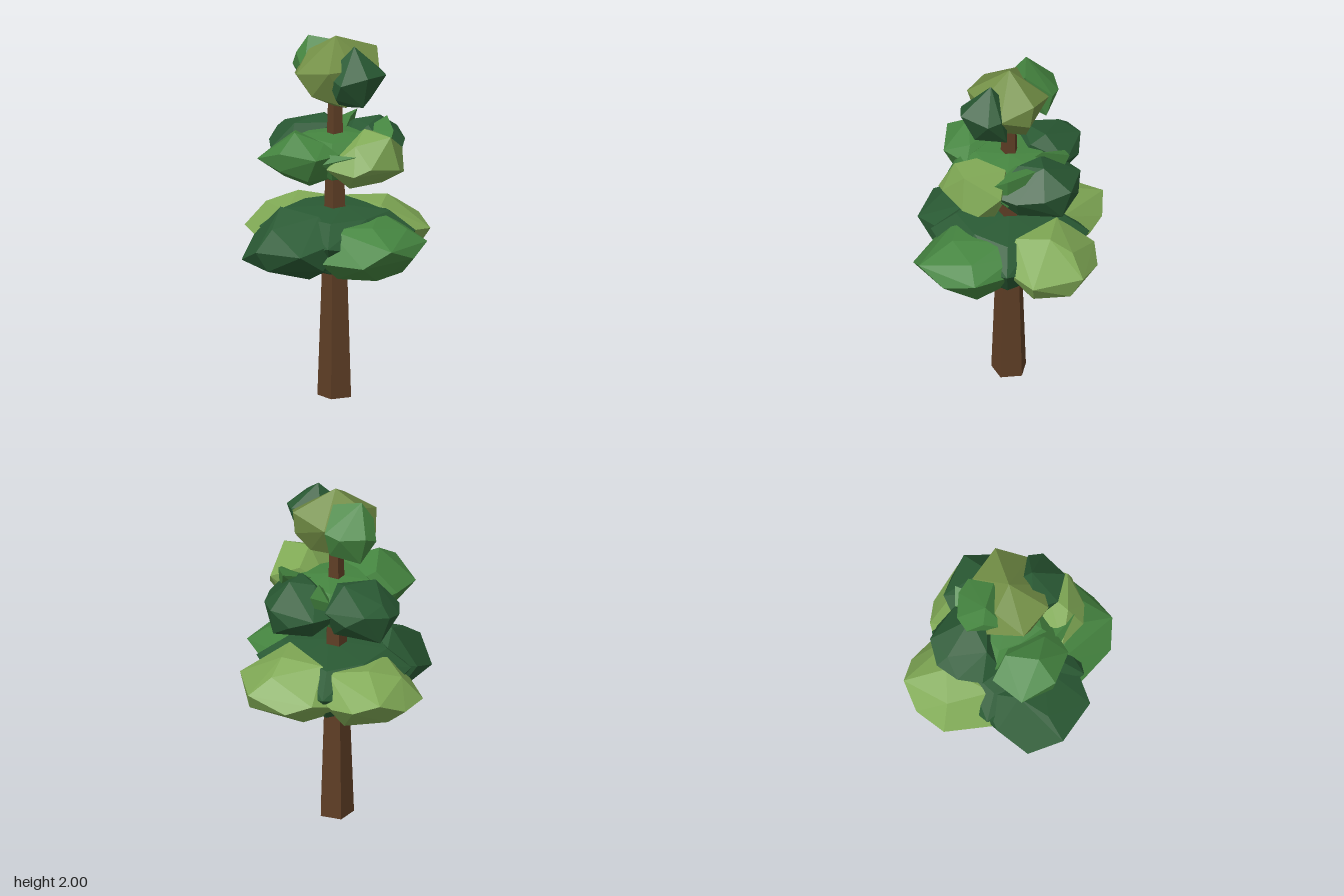
import * as THREE from 'three';
import { ConvexGeometry } from 'three/addons/geometries/ConvexGeometry.js';

const DARK = 0x2a5a34, MID = 0x458540, LIGHT = 0x80a955, OLIVE = 0x738f46, BARK = 0x5e3e25;

function addMesh(group, name, geometry, color) {
  const material = new THREE.MeshStandardMaterial({ color, flatShading: true });
  const mesh = new THREE.Mesh(geometry, material);
  mesh.name = name;
  group.add(mesh);
}

// Faceted leaf clump: the hull around a few corner points
function addClump(group, name, color, corners) {
  const points = corners.map((c) => new THREE.Vector3(...c));
  addMesh(group, name, new ConvexGeometry(points), color);
}

// Core clump: an uneven faceted disc around the trunk
function addCore(group, name, color, y, height, radii) {
  const corners = [[0.03, y + height / 2, -0.03], [-0.04, y - height / 2, 0.02]];
  radii.forEach((r, i) => {
    const a = (i / radii.length) * Math.PI * 2;
    const s = Math.sin(a), c = Math.cos(a);
    const lift = (i % 2 ? 0.1 : -0.1) * height;
    corners.push([s * r, y + lift, c * r]);
    corners.push([s * r * 0.68, y + height * 0.42, c * r * 0.68]);
    corners.push([s * r * 0.72, y - height * 0.42, c * r * 0.72]);
  });
  addClump(group, name, color, corners);
}

function tier(parent, name) {
  const group = new THREE.Group();
  group.name = name;
  parent.add(group);
  return group;
}

export function createModel() {
  const tree = new THREE.Group();
  tree.name = 'tree';

  // Five-sided tapering trunk
  const trunk = new THREE.CylinderGeometry(0.038, 0.098, 1.72, 5);
  trunk.rotateY(Math.PI);
  trunk.translate(0, 0.86, 0);
  addMesh(tree, 'trunk', trunk, BARK);

  // Lower foliage: four wide clumps round a dark core
  const lower = tier(tree, 'lowerFoliage');
  addCore(lower, 'lowerCore', DARK, 0.895, 0.33, [0.36, 0.42, 0.38, 0.43, 0.36, 0.43, 0.38, 0.41]);
  addClump(lower, 'lowerFrontClump', DARK, [
    [0.02, 0.9, 0.57], [-0.165, 0.81, 0.515], [0.25, 0.9, 0.45], [-0.26, 0.9, 0.35],
    [0.26, 0.8, 0.3], [-0.28, 0.8, 0.2], [0.28, 0.95, 0.2], [-0.1, 1.08, 0.3],
    [0.1, 1.05, 0.2], [-0.12, 0.73, 0.28], [0.12, 0.72, 0.28], [0, 1, 0.44],
    [0, 0.85, 0.05], [-0.25, 0.98, 0.14], [0.05, 0.79, 0.51], [-0.1, 0.75, 0.08], [0.1, 0.75, 0.08],
  ]);
  addClump(lower, 'lowerLeftClump', MID, [
    [0.58, 0.94, 0.09], [0.56, 0.87, -0.08], [0.48, 0.92, -0.24], [0.5, 0.85, 0.22],
    [0.35, 0.84, 0.26], [0.25, 0.84, 0.31], [0.24, 0.9, -0.29], [0.37, 0.72, 0.02],
    [0.38, 0.74, -0.15], [0.26, 0.74, 0.2], [0.37, 1.02, 0.05], [0.18, 1.03, -0.16],
    [0.18, 1, 0.2], [0.42, 0.99, -0.15], [0.1, 0.88, 0], [0.16, 0.75, -0.18], [0.18, 0.98, -0.25],
  ]);
  addClump(lower, 'lowerRightClump', LIGHT, [
    [-0.575, 0.96, -0.12], [-0.585, 0.88, 0.04], [-0.51, 0.87, 0.21], [-0.26, 0.85, 0.3],
    [-0.47, 0.9, -0.225], [-0.34, 0.88, -0.27], [-0.48, 0.78, 0], [-0.3, 0.72, 0.1],
    [-0.3, 0.725, -0.16], [-0.36, 1.05, -0.04], [-0.2, 1.02, -0.2], [-0.2, 1.01, 0.18],
    [-0.44, 1, 0.12], [-0.1, 0.88, 0], [-0.13, 0.74, -0.1], [-0.24, 0.9, -0.28],
  ]);
  addClump(lower, 'lowerBackClump', LIGHT, [
    [0, 0.91, -0.575], [-0.2, 0.85, -0.475], [-0.285, 0.9, -0.36], [0.25, 0.9, -0.45],
    [0.26, 0.92, -0.23], [-0.31, 0.87, -0.24], [0.05, 0.8, -0.53], [0.14, 0.73, -0.3],
    [-0.15, 0.73, -0.32], [0.02, 1.06, -0.34], [-0.16, 1.04, -0.2], [0.14, 1.05, -0.2],
    [-0.04, 1, -0.45], [0, 0.88, -0.08], [0.2, 0.79, -0.4], [0, 0.74, -0.12], [-0.22, 0.77, -0.2],
  ]);

  // Middle foliage: four smaller clumps round a green core with sprigs
  const middle = tier(tree, 'middleFoliage');
  addCore(middle, 'middleCore', MID, 1.35, 0.24, [0.22, 0.27, 0.24, 0.29, 0.24, 0.27, 0.24, 0.27]);
  addClump(middle, 'middleFrontSprig', MID, [
    [0.33, 1.42, 0.13], [0.16, 1.41, 0.2], [0.17, 1.36, 0.24], [0.2, 1.31, 0.17], [0.1, 1.37, 0.1],
  ]);
  addClump(middle, 'middleBackLeftSprig', MID, [
    [0.3, 1.42, -0.12], [0.22, 1.48, -0.22], [0.08, 1.52, -0.29], [0.06, 1.45, -0.1],
    [0.21, 1.3, -0.21], [0.1, 1.33, -0.1],
  ]);
  addClump(middle, 'middleBackRightSprig', MID, [
    [-0.17, 1.5, -0.29], [-0.08, 1.5, -0.17], [-0.22, 1.46, -0.2], [-0.16, 1.33, -0.22],
    [-0.05, 1.4, -0.08],
  ]);
  addClump(middle, 'middleRightClump', DARK, [
    [-0.455, 1.4, 0.03], [-0.42, 1.43, -0.11], [-0.34, 1.36, -0.18], [-0.21, 1.4, -0.22],
    [-0.39, 1.36, 0.14], [-0.28, 1.35, 0.22], [-0.39, 1.45, 0.03], [-0.41, 1.235, 0],
    [-0.12, 1.22, 0.08], [-0.18, 1.23, -0.14], [-0.19, 1.515, -0.08], [-0.2, 1.49, 0.12],
    [-0.08, 1.37, 0], [-0.1, 1.48, -0.06], [-0.15, 1.35, 0.2],
  ]);
  addClump(middle, 'middleFrontClump', MID, [
    [-0.15, 1.36, 0.42], [0.05, 1.43, 0.43], [0.04, 1.33, 0.42], [0.2, 1.4, 0.3],
    [0.19, 1.4, 0.13], [-0.23, 1.38, 0.24], [0.02, 1.52, 0.3], [-0.12, 1.48, 0.18],
    [0.12, 1.46, 0.18], [0.05, 1.215, 0.22], [-0.14, 1.23, 0.24], [0.13, 1.27, 0.3],
    [0, 1.37, 0.06], [-0.08, 1.25, 0.1], [0.1, 1.25, 0.11],
  ]);
  addClump(middle, 'middleLeftClump', LIGHT, [
    [0.43, 1.33, -0.09], [0.41, 1.36, 0.09], [0.39, 1.51, -0.06], [0.36, 1.32, 0.17],
    [0.28, 1.4, -0.23], [0.2, 1.34, 0.23], [0.24, 1.535, 0], [0.15, 1.48, -0.13],
    [0.3, 1.47, 0.11], [0.23, 1.21, -0.13], [0.24, 1.22, 0.1], [0.07, 1.37, 0],
    [0.38, 1.3, -0.16], [0.09, 1.24, -0.08], [0.1, 1.25, 0.08],
  ]);
  addClump(middle, 'middleBackClump', DARK, [
    [-0.03, 1.41, -0.45], [-0.13, 1.33, -0.4], [0.11, 1.38, -0.39], [-0.23, 1.38, -0.31],
    [0.215, 1.36, -0.28], [0.28, 1.38, -0.13], [0, 1.24, -0.41], [0.02, 1.51, -0.29],
    [-0.06, 1.49, -0.18], [0.08, 1.49, -0.16], [-0.12, 1.22, -0.24], [0.14, 1.22, -0.22],
    [-0.24, 1.37, -0.14], [0, 1.37, -0.05], [0, 1.23, -0.1],
  ]);

  // Crown: olive centre flanked by two clumps
  const crown = tier(tree, 'crown');
  addClump(crown, 'crownCentre', OLIVE, [
    [0, 2, 0], [0.05, 1.91, -0.245], [0.06, 1.77, -0.225], [-0.13, 1.85, -0.17],
    [0.2, 1.82, -0.14], [-0.04, 1.82, 0.24], [0.15, 1.85, 0.17], [-0.2, 1.77, 0.12],
    [-0.13, 1.91, 0.08], [0.03, 1.7, 0.19], [0.02, 1.62, 0.03], [0.15, 1.64, 0.05],
    [0.02, 1.66, -0.15], [-0.14, 1.66, -0.04], [0.18, 1.85, 0.04],
  ]);
  addClump(crown, 'crownRightClump', MID, [
    [-0.15, 1.85, -0.18], [-0.06, 1.95, -0.06], [-0.23, 1.83, -0.14], [-0.305, 1.83, -0.02],
    [-0.29, 1.79, 0.06], [-0.08, 1.79, 0.16], [-0.17, 1.975, 0.05], [-0.255, 1.66, -0.02],
    [-0.12, 1.69, 0.1], [-0.14, 1.7, -0.14], [-0.21, 1.88, 0.1],
  ]);
  addClump(crown, 'crownLeftClump', DARK, [
    [0.145, 1.97, -0.01], [0.245, 1.87, 0], [0.32, 1.835, 0.04], [0.2, 1.83, -0.15],
    [0.275, 1.82, -0.125], [0.22, 1.79, 0.145], [0.08, 1.82, 0.13], [0.245, 1.655, 0.01],
    [0.11, 1.64, 0.06], [0.14, 1.66, -0.13], [0.07, 1.85, -0.05], [0.16, 1.7, 0.13],
  ]);

  return tree;
}
